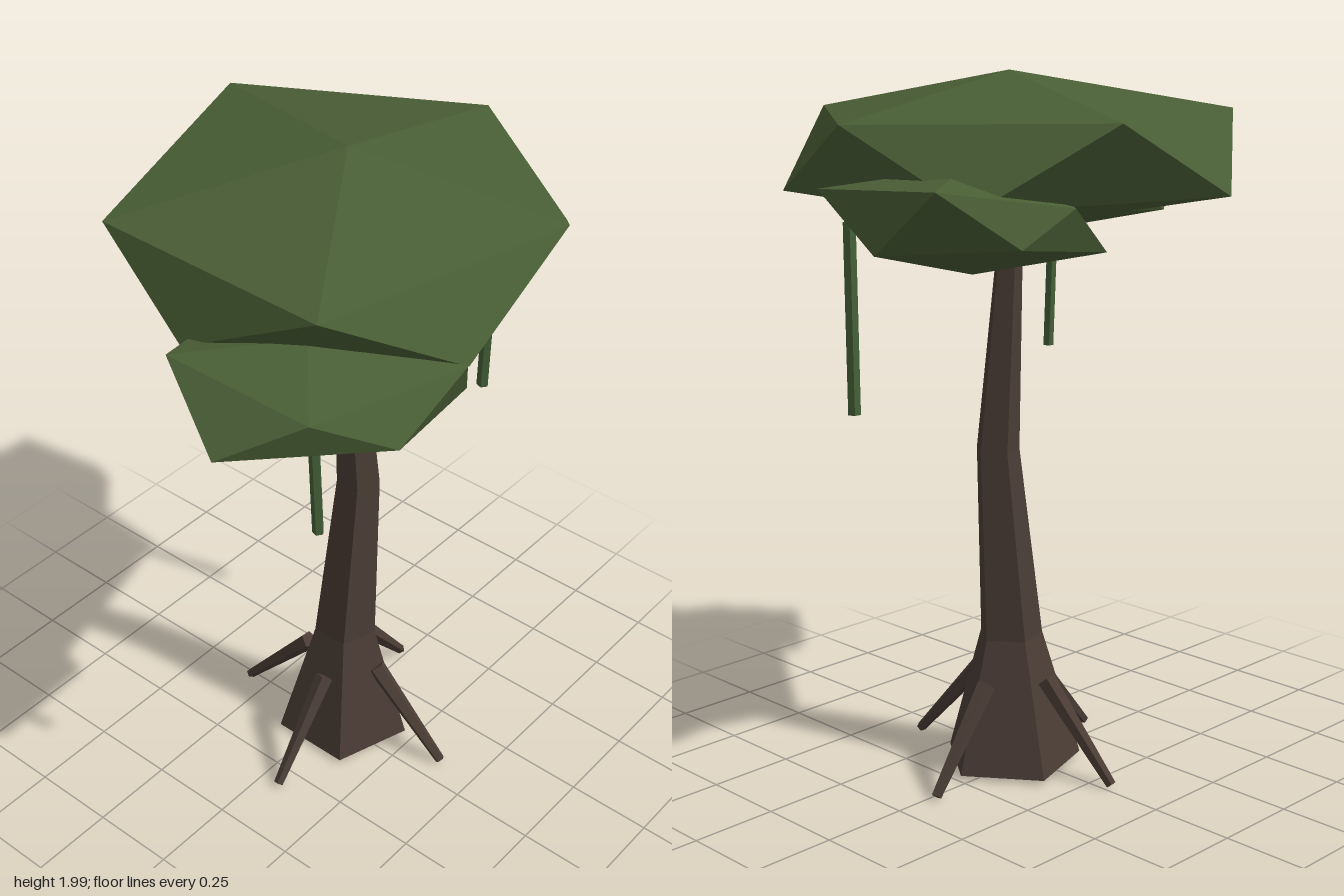
import * as THREE from 'three';

const material = (name, color) => {
  const m = new THREE.MeshStandardMaterial({ color, flatShading: true });
  m.name = name;
  return m;
};

// Non-indexed geometry from a list of triangles (each three corner points)
function fromTriangles(tris) {
  const g = new THREE.BufferGeometry();
  g.setAttribute('position', new THREE.Float32BufferAttribute(tris.flat(2), 3));
  g.computeVertexNormals();
  return g;
}

// Twenty-sided leaf clump: top point, two staggered five-point rings, bottom point
function clumpGeometry({ top, upper, lower, bottom }) {
  const tris = [];
  for (let i = 0; i < 5; i++) {
    const j = (i + 1) % 5;
    tris.push([top, upper[j], upper[i]], [upper[i], upper[j], lower[i]],
      [lower[i], upper[j], lower[j]], [bottom, lower[i], lower[j]]);
  }
  return fromTriangles(tris);
}

// Five-sided trunk lofted through sections [x, y, z, radius]
function trunkGeometry(sections) {
  const rings = sections.map(([x, y, z, r]) => Array.from({ length: 5 }, (_, i) => {
    const a = i * Math.PI * 2 / 5;
    return [x + r * Math.cos(a), y, z + r * Math.sin(a)];
  }));
  const tris = [];
  const last = rings.length - 1;
  const centre = (s) => s.slice(0, 3);
  for (let i = 0; i < 5; i++) {
    const j = (i + 1) % 5;
    for (let k = 0; k < last; k++) {
      const lo = rings[k], hi = rings[k + 1];
      tris.push([lo[i], hi[i], hi[j]], [lo[i], hi[j], lo[j]]);
    }
    tris.push([centre(sections[0]), rings[0][i], rings[0][j]]);
    tris.push([centre(sections[last]), rings[last][j], rings[last][i]]);
  }
  return fromTriangles(tris);
}

// Tapered rod from an upper point to a lower point
function rod(from, to, rFrom, rTo, sides, mat) {
  const a = new THREE.Vector3(...from), b = new THREE.Vector3(...to);
  const dir = a.clone().sub(b);
  const mesh = new THREE.Mesh(new THREE.CylinderGeometry(rFrom, rTo, dir.length(), sides), mat);
  mesh.position.copy(a).add(b).multiplyScalar(0.5);
  mesh.quaternion.setFromUnitVectors(new THREE.Vector3(0, 1, 0), dir.normalize());
  return mesh;
}

export function createModel() {
  const tree = new THREE.Group();
  tree.name = 'tree';
  const bark = material('bark brown', 0x4a3c35);
  const leaf = material('leaf green', 0x495e35);
  const vineGreen = material('vine green', 0x456038);
  const add = (mesh, name) => { mesh.name = name; tree.add(mesh); };

  // Trunk with a flared foot and a slight bend
  add(new THREE.Mesh(trunkGeometry([
    [0.036, 0.02, 0.027, 0.204], [0.037, 0.4, 0.03, 0.094],
    [0.07, 0.95, 0.047, 0.064], [0.047, 1.52, 0.02, 0.038],
  ]), bark), 'trunk');

  // Four slanting roots
  [
    [[0.05, 0.28, 0.14], [0.073, 0.018, 0.378]],
    [[0.16, 0.28, 0.005], [0.38, 0.018, -0.02]],
    [[0.01, 0.28, -0.09], [-0.018, 0.018, -0.318]],
    [[-0.085, 0.28, 0.05], [-0.318, 0.018, 0.065]],
  ].forEach(([a, b]) => add(rod(a, b, 0.028, 0.015, 5, bark), 'root'));

  // Main canopy
  add(new THREE.Mesh(clumpGeometry({
    top: [0.045, 2, 0.02],
    upper: [[0.64, 1.885, 0.025], [0.24, 1.89, 0.565], [-0.505, 1.895, 0.385],
      [-0.485, 1.89, -0.325], [0.265, 1.9, -0.585]],
    lower: [[0.555, 1.69, 0.36], [-0.17, 1.69, 0.575], [-0.56, 1.7, 0],
      [-0.17, 1.69, -0.575], [0.55, 1.69, -0.36]],
    bottom: [0.04, 1.58, -0.01],
  }), leaf), 'mainCanopy');

  // Lower clump at the front right
  add(new THREE.Mesh(clumpGeometry({
    top: [-0.416, 1.768, 0.28],
    upper: [[0.01, 1.71, 0.285], [-0.185, 1.7, 0.582], [-0.58, 1.67, 0.424],
      [-0.645, 1.735, 0.035], [-0.3, 1.7, -0.025]],
    lower: [[-0.075, 1.545, 0.505], [-0.42, 1.58, 0.565], [-0.73, 1.572, 0.253],
      [-0.535, 1.58, -0.04], [0.02, 1.59, 0.115]],
    bottom: [-0.31, 1.51, 0.26],
  }), leaf), 'frontCanopy');

  // Lower clump at the back left
  add(new THREE.Mesh(clumpGeometry({
    top: [0.41, 1.778, -0.18],
    upper: [[0.724, 1.735, 0.01], [0.31, 1.7, 0.09], [0.08, 1.7, -0.17],
      [0.3, 1.69, -0.465], [0.7, 1.755, -0.39]],
    lower: [[0.5, 1.59, 0.075], [0.1, 1.55, 0.03], [0.08, 1.55, -0.37],
      [0.49, 1.605, -0.467], [0.722, 1.588, -0.195]],
    bottom: [0.39, 1.507, -0.19],
  }), leaf), 'backCanopy');

  // Hanging vines
  add(rod([-0.383, 1.6, 0.263], [-0.38, 1.155, 0.28], 0.016, 0.016, 5, vineGreen), 'vine');
  add(rod([0.476, 1.615, 0.186], [0.49, 1.1, 0.165], 0.018, 0.018, 5, vineGreen), 'vine');

  return tree;
}
